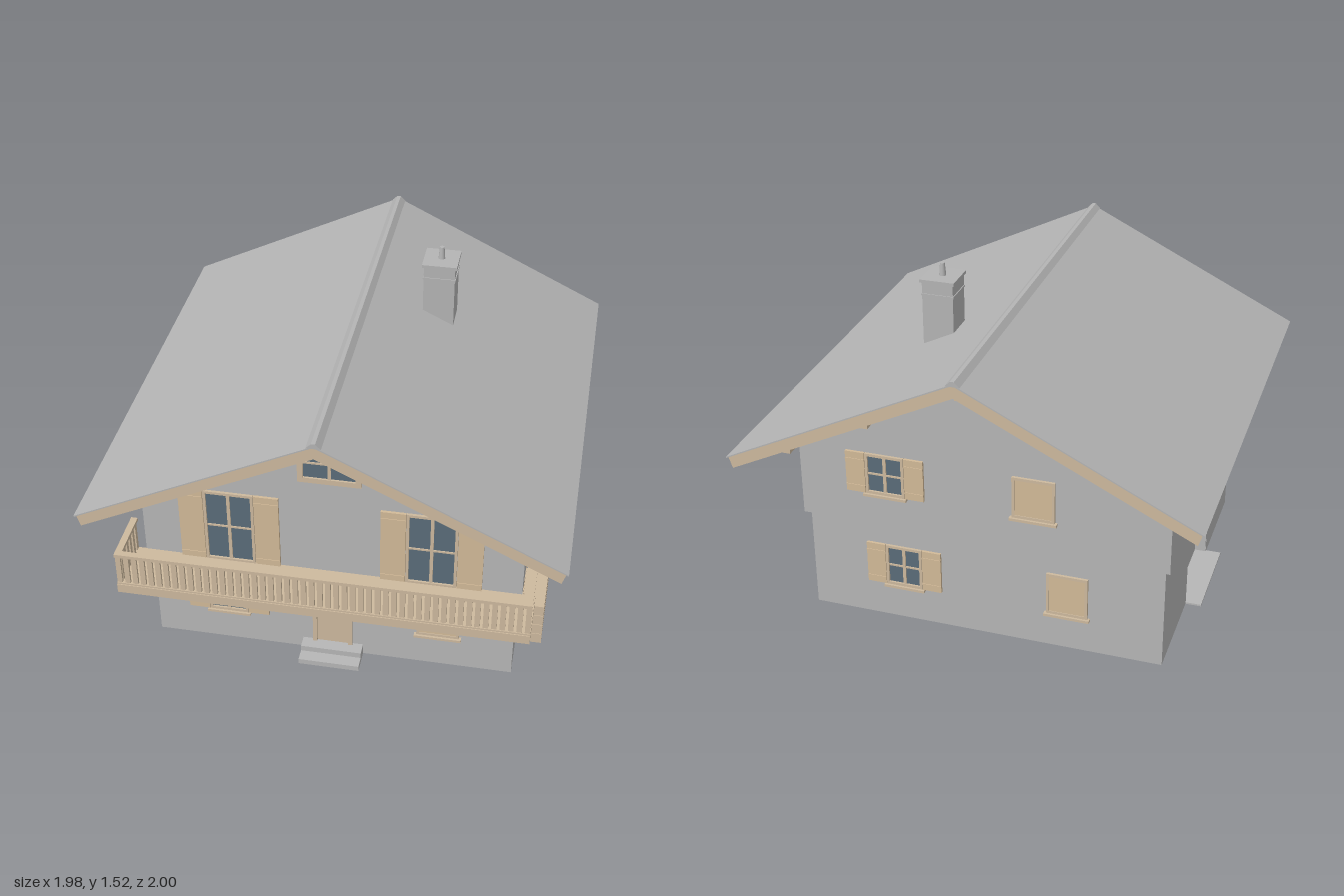
import * as THREE from 'three';

const mat = (name, color) => Object.assign(new THREE.MeshStandardMaterial({ color }), { name });

export function createModel() {
  const plaster = mat('plaster', 0xb6b6b6);
  const slate = mat('roof slate', 0xb4b4b4);
  const wood = mat('timber', 0xcdb99e);
  const pale = mat('shutter wood', 0xd2ba98);
  const glass = mat('glass', 0x5a6c79);
  const house = new THREE.Group();
  house.name = 'chalet';

  const group = (name, parent = house) => {
    const g = new THREE.Group();
    g.name = name;
    parent.add(g);
    return g;
  };
  // Box given by its limits on each axis
  const box = (parent, name, m, x0, x1, y0, y1, z0, z1) => {
    const mesh = new THREE.Mesh(new THREE.BoxGeometry(x1 - x0, y1 - y0, z1 - z0), m);
    mesh.position.set((x0 + x1) / 2, (y0 + y1) / 2, (z0 + z1) / 2);
    mesh.name = name;
    parent.add(mesh);
    return mesh;
  };
  const extrude = (parent, name, m, pts, z0, z1) => {
    const shape = new THREE.Shape(pts.map(p => new THREE.Vector2(...p)));
    const geo = new THREE.ExtrudeGeometry(shape, { depth: z1 - z0, bevelEnabled: false });
    geo.translate(0, 0, z0);
    const mesh = new THREE.Mesh(geo, m);
    mesh.name = name;
    parent.add(mesh);
    return mesh;
  };

  // Lower walls, hollow and open below
  const X = 0.785, Z = 0.683, T = 0.03, F = 0.475;
  const lower = group('lowerWalls');
  for (const s of [1, -1]) {
    box(lower, 'lowerGableWall', plaster, -X, X, 0, F, s > 0 ? Z - T : -Z, s > 0 ? Z : -Z + T);
  }
  box(lower, 'rightSideWall', plaster, X - T, X, 0, F, -Z + T, Z - T);
  const G = 0.22, GH = 0.41;
  box(lower, 'garageWallFront', plaster, -X, -X + T, 0, F, G, Z - T);
  box(lower, 'garageWallBack', plaster, -X, -X + T, 0, F, -Z + T, -G);
  box(lower, 'garageWallTop', plaster, -X, -X + T, GH, F, -G, G);

  // Recessed garage door with its reveals, lintel and threshold
  const garage = group('garage');
  box(garage, 'garageDoor', plaster, -0.735, -0.725, 0, GH, -G, G);
  for (const s of [1, -1]) box(garage, 'garageReveal', plaster, -X + 0.001, -0.725, 0, GH, s * G - 0.01, s * G + 0.01);
  box(garage, 'garageLintel', wood, -X - 0.004, -0.725, GH - 0.03, GH, -G, G);
  box(garage, 'garageThreshold', plaster, -0.855, -0.73, 0, 0.008, -G, G);

  // Upper walls, slightly wider, with gables
  const UX = 0.807, UZ = 0.707, UT = 0.04, SLOPE = 0.487;
  const upper = group('upperWalls');
  const eaveY = 1.318 - SLOPE * UX;
  const gable = [[-UX, F], [UX, F], [UX, eaveY], [0, 1.318], [-UX, eaveY]];
  extrude(upper, 'frontGable', plaster, gable, UZ - UT, UZ);
  extrude(upper, 'backGable', plaster, gable, -UZ, -UZ + UT);
  for (const s of [1, -1]) {
    box(upper, 'upperSideWall', plaster, s > 0 ? UX - UT : -UX, s > 0 ? UX : -UX + UT, F, eaveY, -UZ + UT, UZ - UT);
  }

  // Roof: sloping bands mirrored about the ridge
  const roof = group('roof');
  const band = (name, m, s, x0, x1, top, th, z0, z1) => extrude(roof, name, m, [
    [s * x0, top - SLOPE * x0], [s * x1, top - SLOPE * x1],
    [s * (x1 - th * 0.28), top - th - SLOPE * (x1 - th * 0.28)], [s * x0, top - th - SLOPE * x0]], z0, z1);
  for (const s of [1, -1]) {
    band('roofCovering', slate, s, 0, 0.99, 1.356, 0.006, -1, 1);
    band('roofDeck', wood, s, 0, 0.978, 1.35, 0.038, -0.98, 0.98);
    band('frontBargeboard', wood, s, 0, 0.98, 1.35, 0.056, 0.975, 0.996);
    band('backBargeboard', wood, s, 0, 0.98, 1.35, 0.056, -0.996, -0.975);
    for (let i = 0; i < 12; i++) {
      const z = -0.93 + i * 1.86 / 11;
      band('rafter', wood, s, 0.78, 0.96, 1.314, 0.028, z - 0.018, z + 0.018);
    }
  }
  extrude(roof, 'ridgeCap', slate, [[-0.03, 1.345], [0.03, 1.345], [0.008, 1.367], [-0.008, 1.367]], -1, 1);
  for (const [x, y] of [[0, 1.31], [0.4, 1.125], [-0.4, 1.125], [0.745, 0.955], [-0.745, 0.955]]) {
    box(roof, 'purlin', wood, x - 0.016, x + 0.016, y - 0.055, y, -0.94, 0.94);
  }

  // Chimney
  const chimney = group('chimney');
  const block = (name, h, y0, y1) => box(chimney, name, slate, 0.303 - h, 0.303 + h, y0, y1, -0.277 - h, -0.277 + h);
  block('chimneyStack', 0.068, 1.12, 1.46);
  block('chimneyBand', 0.072, 1.398, 1.406);
  block('chimneyCap', 0.076, 1.456, 1.47);
  const pipe = new THREE.Mesh(new THREE.CylinderGeometry(0.01, 0.015, 0.057, 16), slate);
  pipe.position.set(0.303, 1.4965, -0.277);
  pipe.name = 'chimneyPipe';
  chimney.add(pipe);

  // Window built on a wall plane facing +z, then turned onto its wall
  const place = (g, side, along, wall) => {
    if (side === 'front') g.position.set(along, 0, wall);
    if (side === 'back') { g.position.set(along, 0, -wall); g.rotation.y = Math.PI; }
    if (side === 'left') { g.position.set(wall, 0, along); g.rotation.y = Math.PI / 2; }
    if (side === 'right') { g.position.set(-wall, 0, along); g.rotation.y = -Math.PI / 2; }
  };
  const frame = (g, w, y0, y1, t, d) => {
    for (const s of [1, -1]) box(g, 'frameSide', wood, s > 0 ? w - t : -w, s > 0 ? w : -w + t, y0, y1, -0.02, d);
    box(g, 'frameTop', wood, -w + t, w - t, y1 - t, y1, -0.02, d);
    box(g, 'frameBottom', wood, -w + t, w - t, y0, y0 + t, -0.02, d);
  };
  const opening = (side, along, wall, y0, y1, w, o = {}) => {
    const g = group(o.closed ? 'closedWindow' : 'window');
    const t = o.border || 0.012;
    box(g, 'pane', glass, -w + 0.004, w - 0.004, y0 + 0.004, y1 - 0.004, -0.044, 0.003);
    frame(g, w, y0, y1, t, 0.012);
    if (o.closed) {
      box(g, 'closedShutter', pale, -w + t, w - t, y0 + t, y1 - t, 0.002, 0.009);
    } else {
      const bar = o.bar || (y0 + y1) / 2;
      box(g, 'mullion', wood, -0.007, 0.007, y0 + t, y1 - t, 0, 0.009);
      box(g, 'glazingBar', wood, -w + t, w - t, bar - 0.004, bar + 0.004, 0, 0.008);
    }
    if (!o.noSill) box(g, 'sill', wood, -w - 0.01, w + 0.01, y0 - 0.012, y0, 0, 0.022);
    if (o.shutter) {
      for (const s of [1, -1]) {
        const a = s * (w + 0.002), b = s * (w + 0.002 + o.shutter);
        const x0 = Math.min(a, b), x1 = Math.max(a, b);
        box(g, 'shutter', pale, x0, x1, y0, y1, 0, 0.012);
        for (const y of [y0 + 0.03, y1 - 0.035]) box(g, 'shutterBatten', pale, x0, x1, y - 0.004, y + 0.004, 0.012, 0.015);
      }
    }
    place(g, side, along, wall);
  };
  // Front
  for (const x of [-0.43, 0.425]) opening('front', x, UZ, F + 0.005, 0.845, 0.107, { shutter: 0.105, bar: 0.665, noSill: true });
  opening('front', 0, UZ, 0.953, 1.148, 0.132, { border: 0.024, noSill: true });
  opening('front', -0.46, Z, 0.168, 0.37, 0.086, { shutter: 0.09 });
  opening('front', 0.46, Z, 0.168, 0.375, 0.092, { closed: true });
  // Back
  opening('back', 0.42, UZ, 0.63, 0.82, 0.086, { shutter: 0.085 });
  opening('back', -0.23, UZ, 0.63, 0.82, 0.092, { closed: true });
  opening('back', 0.36, Z, 0.168, 0.365, 0.082, { shutter: 0.085 });
  opening('back', -0.37, Z, 0.168, 0.365, 0.09, { closed: true });
  // Sides
  for (const side of ['left', 'right']) opening(side, 0, UX, 0.632, 0.822, 0.088, { shutter: 0.085 });
  for (const z of [0.275, -0.275]) opening('left', z, X, 0.175, 0.362, 0.075, { shutter: 0.083 });

  // Front door with barred pane and stone steps
  const door = group('frontDoor');
  box(door, 'doorLeaf', wood, -0.07, 0.07, 0.05, 0.405, -0.034, 0.003);
  box(door, 'doorPane', glass, -0.054, 0.054, 0.212, 0.385, 0.003, 0.007);
  for (let i = 0; i < 4; i++) box(door, 'doorBar', wood, -0.036 + i * 0.022, -0.03 + i * 0.022, 0.212, 0.385, 0.007, 0.011);
  for (const s of [1, -1]) box(door, 'doorJamb', wood, s * 0.078 - 0.009, s * 0.078 + 0.009, 0.05, 0.42, -0.034, 0.014);
  box(door, 'doorHead', wood, -0.069, 0.069, 0.402, 0.42, -0.034, 0.014);
  box(door, 'doorHandle', slate, 0.052, 0.062, 0.225, 0.245, 0.003, 0.02);
  place(door, 'front', 0, Z);
  const steps = group('steps');
  box(steps, 'lowerStep', plaster, -0.133, 0.133, 0, 0.025, Z, 0.795);
  box(steps, 'upperStep', plaster, -0.133, 0.133, 0.025, 0.052, Z, 0.74);

  // Balcony: floor, brackets, rails and balusters
  const balcony = group('balcony');
  const BX = 0.862, B0 = 0.705, B1 = 0.95;
  box(balcony, 'wallBeam', wood, -0.81, 0.81, 0.43, 0.468, 0.65, 0.71);
  box(balcony, 'balconyFloor', wood, -BX, BX, 0.44, 0.482, B0, B1);
  for (let i = -3; i <= 3; i++) {
    const x = i * 0.28;
    box(balcony, 'bracketArm', wood, x - 0.012, x + 0.012, 0.418, 0.442, 0.68, 0.855);
    box(balcony, 'bracketCorbel', wood, x - 0.012, x + 0.012, 0.382, 0.42, 0.68, 0.737);
  }
  box(balcony, 'frontHandrail', wood, -BX, BX, 0.63, 0.645, B1 - 0.028, B1);
  box(balcony, 'frontLowerRail', wood, -BX, BX, 0.482, 0.49, B1 - 0.024, B1 - 0.004);
  const N = 50;
  for (let i = 0; i <= N; i++) {
    const x = -BX + 0.012 + i * (2 * BX - 0.024) / N;
    box(balcony, 'baluster', wood, x - 0.011, x + 0.011, 0.485, 0.632, B1 - 0.02, B1 - 0.008);
  }
  for (const s of [1, -1]) {
    const e = s * (BX - 0.014);
    box(balcony, 'sideHandrail', wood, e - 0.014, e + 0.014, 0.63, 0.645, B0, B1 - 0.028);
    for (let i = 0; i < 6; i++) {
      const z = B0 + 0.012 + i * 0.038;
      box(balcony, 'sideBaluster', wood, e - 0.006, e + 0.006, 0.482, 0.632, z - 0.01, z + 0.01);
    }
  }

  // Stacked timber beside the wall
  const stack = group('timberStack');
  for (let i = 0; i < 4; i++) {
    const y = 0.02 + i * 0.054;
    box(stack, 'stackBoard', wood, 0.805, 0.898, y, y + 0.051, 0.125, 0.5);
  }
  box(stack, 'stackCore', wood, 0.808, 0.895, 0.022, 0.232, 0.128, 0.497);
  return house;
}
